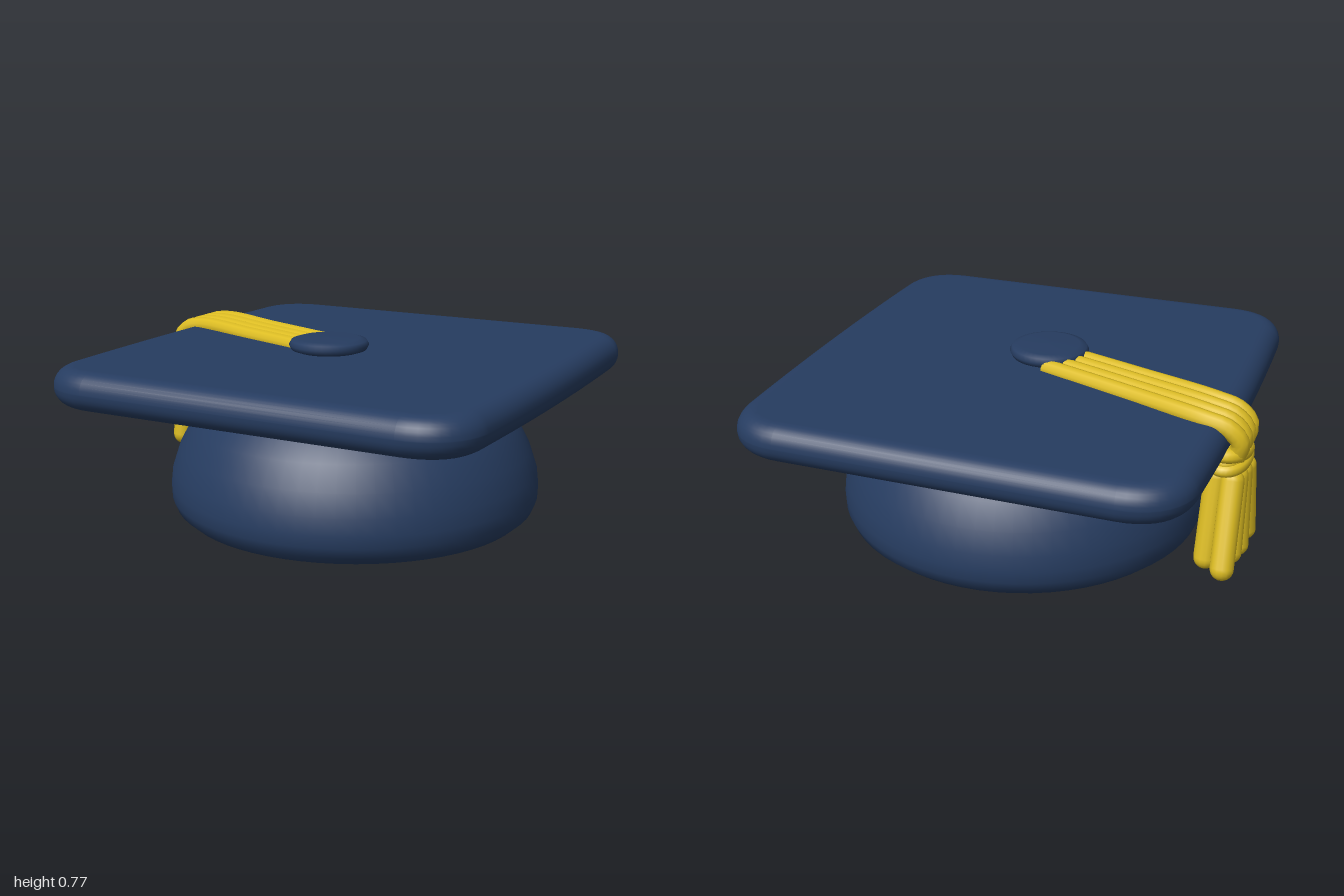
import * as THREE from 'three';
import { mergeVertices } from 'three/addons/utils/BufferGeometryUtils.js';

const V = (x, y, z) => new THREE.Vector3(x, y, z);

// Weld all corners so the surface shades smoothly
function smooth(geometry) {
  geometry.deleteAttribute('normal');
  geometry.deleteAttribute('uv');
  const welded = mergeVertices(geometry, 1e-4);
  welded.computeVertexNormals();
  return welded;
}

function lathe(points, segments) {
  return new THREE.LatheGeometry(points.map(([r, y]) => new THREE.Vector2(r, y)), segments);
}

export function createModel() {
  const model = new THREE.Group();
  const navy = new THREE.MeshStandardMaterial({ color: 0x263c60 });
  navy.name = 'navy cloth';
  const gold = new THREE.MeshStandardMaterial({ color: 0xdcbc22 });
  gold.name = 'gold thread';

  function add(parent, name, geometry, material, x = 0, y = 0, z = 0) {
    const mesh = new THREE.Mesh(geometry, material);
    mesh.name = name;
    mesh.position.set(x, y, z);
    parent.add(mesh);
    return mesh;
  }

  // Skull cap with a shallow hollow underneath
  const capProfile = [
    [0, 0.12], [0.3, 0.105], [0.52, 0.065], [0.63, 0.025], [0.665, 0.006], [0.69, 0],
    [0.735, 0.01], [0.775, 0.045], [0.793, 0.09], [0.795, 0.14], [0.787, 0.21],
    [0.757, 0.3], [0.705, 0.4], [0.63, 0.49], [0.54, 0.55], [0.45, 0.585],
  ];
  add(model, 'skullCap', lathe(capProfile, 64), navy, 0.065);

  // Square board with a fully rounded rim
  const b = 0.08, w = 0.95 - b, d = 0.98 - b;
  const outline = new THREE.Shape();
  outline.moveTo(-w + 0.19, -d);
  outline.lineTo(w - 0.19, -d);
  outline.bezierCurveTo(w - 0.07, -d, w - 0.02, -d + 0.07, w - 0.015, -d + 0.16);
  outline.quadraticCurveTo(w + 0.015, 0, w - 0.015, d - 0.16);
  outline.bezierCurveTo(w - 0.02, d - 0.07, w - 0.07, d, w - 0.19, d);
  outline.lineTo(-w + 0.19, d);
  outline.bezierCurveTo(-w + 0.07, d, -w + 0.02, d - 0.07, -w + 0.015, d - 0.16);
  outline.quadraticCurveTo(-w - 0.015, 0, -w + 0.015, -d + 0.16);
  outline.bezierCurveTo(-w + 0.02, -d + 0.07, -w + 0.07, -d, -w + 0.19, -d);
  const boardGeometry = new THREE.ExtrudeGeometry(outline, {
    depth: 0.004, bevelThickness: 0.078, bevelSize: b, bevelSegments: 8, curveSegments: 10,
  });
  boardGeometry.rotateX(-Math.PI / 2);
  add(model, 'board', smooth(boardGeometry), navy, 0.05, 0.628, 0);

  // Button on top
  const buttonProfile = [
    [0, -0.03], [0.13, -0.03], [0.16, -0.02], [0.17, 0], [0.16, 0.018], [0.13, 0.027], [0, 0.029],
  ];
  add(model, 'button', lathe(buttonProfile, 40), navy, -0.015, 0.738, 0.085);

  const tassel = new THREE.Group();
  tassel.name = 'tassel';
  model.add(tassel);

  // Four cords run over the board and bend down at its edge
  for (let i = 0; i < 4; i++) {
    const s = i - 1.5;
    const cord = new THREE.CatmullRomCurve3([
      V(-0.05, 0.712, 0.035 + s * 0.06),
      V(-0.45, 0.714, -0.105 + s * 0.063),
      V(-0.8, 0.714, -0.23 + s * 0.066),
      V(-0.895, 0.693, -0.242 + s * 0.064),
      V(-0.94, 0.64, -0.24 + s * 0.06),
      V(-0.925, 0.57, -0.24 + s * 0.05),
    ]);
    add(tassel, 'cord', new THREE.TubeGeometry(cord, 40, 0.038, 10), gold);
  }

  // Knot: a core wrapped by two bands
  const core = add(tassel, 'knotCore', new THREE.SphereGeometry(1, 24, 16), gold, -0.885, 0.55, -0.25);
  core.scale.set(0.08, 0.06, 0.125);
  for (const [y, tilt] of [[0.575, 0.1], [0.54, -0.12]]) {
    const band = new THREE.TorusGeometry(0.066, 0.03, 10, 32).rotateX(Math.PI / 2);
    const mesh = add(tassel, 'knotBand', band, gold, -0.885, y, -0.25);
    mesh.scale.z = 1.5;
    mesh.rotation.x = tilt;
  }

  // Hanging strands fan out below the knot in two rows
  function strand(x, z0, z1, yEnd) {
    const top = V(-0.885 + (x + 0.885) * 0.8, 0.47, z0);
    const bottom = V(x, yEnd + 0.05, z1);
    const along = bottom.clone().sub(top);
    const geometry = new THREE.CapsuleGeometry(0.048, along.length(), 6, 14);
    const mesh = add(tassel, 'strand', geometry, gold);
    mesh.position.copy(top).addScaledVector(along, 0.5);
    mesh.quaternion.setFromUnitVectors(V(0, -1, 0), along.normalize());
  }
  for (let i = 0; i < 4; i++) {
    strand(-0.948 + i * 0.007, -0.175 - i * 0.05, -0.15 - i * 0.104, 0.12 - (i % 2) * 0.02);
  }
  for (let i = 0; i < 3; i++) {
    strand(-0.818 - i * 0.012, -0.19 - i * 0.06, -0.18 - i * 0.1, 0.09 + (i % 2) * 0.01);
  }
  return model;
}
